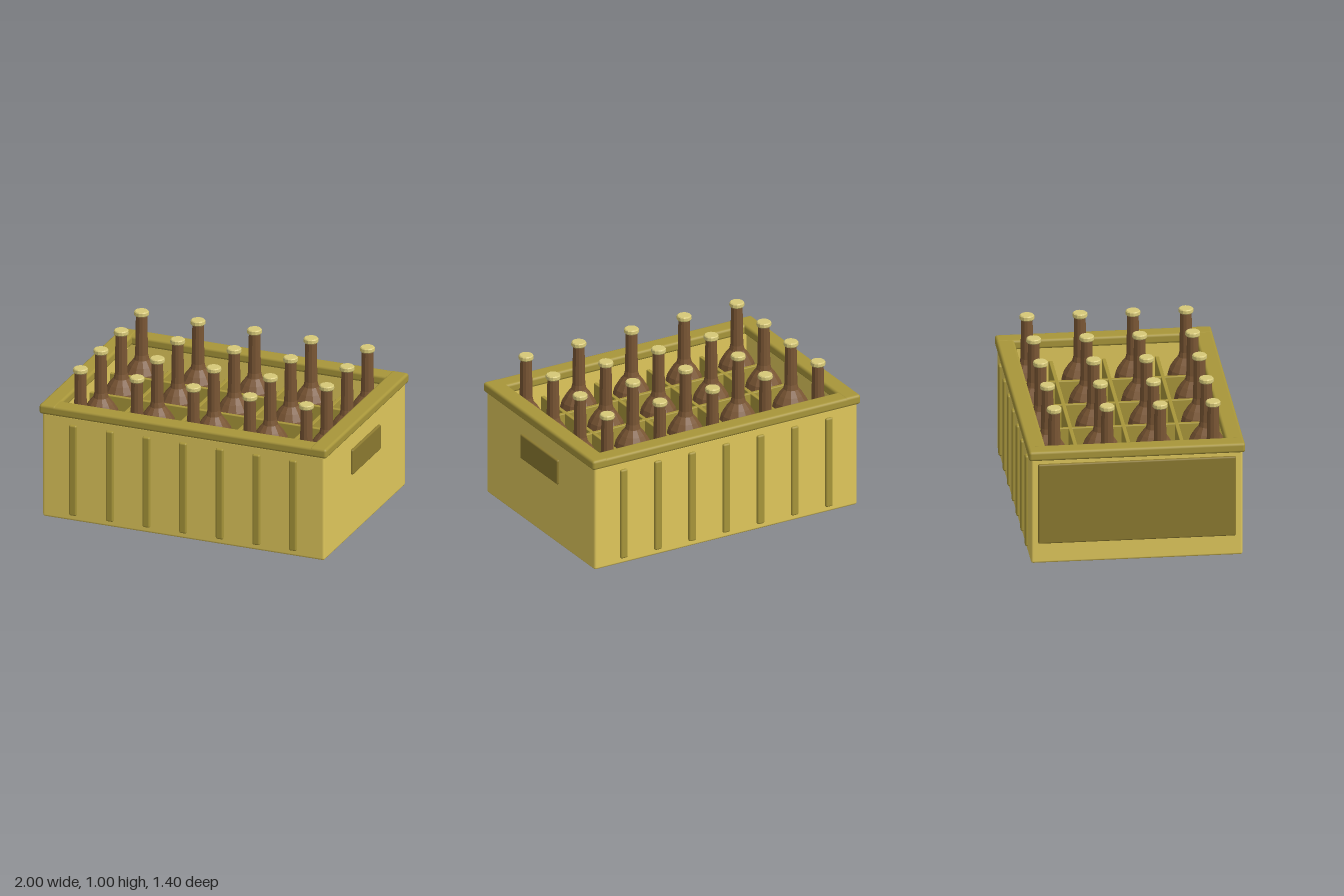
import * as THREE from 'three';
import { RoundedBoxGeometry } from 'three/addons/geometries/RoundedBoxGeometry.js';

const mat = (color, flatShading = false) => new THREE.MeshStandardMaterial({ color, flatShading });

export function createModel() {
  const model = new THREE.Group();
  const yellow = mat(0xe0c85c);
  const trim = mat(0xa8963a);
  const dark = mat(0x8c7a30);
  const glass = mat(0x7a5634, true);
  const capMat = mat(0xd6c878, true);

  // Softly rounded box given by its size and centre
  function block(parent, name, material, w, h, d, x, y, z, r = 0.012) {
    const mesh = new THREE.Mesh(new RoundedBoxGeometry(w, h, d, 2, r), material);
    mesh.name = name;
    mesh.position.set(x, y, z);
    parent.add(mesh);
    return mesh;
  }
  function group(name) {
    const g = new THREE.Group();
    g.name = name;
    model.add(g);
    return g;
  }

  // Floor and four walls
  const body = group('crateBody');
  block(body, 'floor', yellow, 1.96, 0.06, 1.37, 0, 0.03, 0, 0.015);
  for (const s of [-1, 1]) {
    block(body, 'longWall', yellow, 1.96, 0.72, 0.05, 0, 0.365, s * 0.66, 0.015);
    block(body, 'endWall', yellow, 0.05, 0.72, 1.37, s * 0.955, 0.365, 0, 0.015);
  }

  // Rim rails, crossing at the corners
  const rim = group('rim');
  for (const s of [-1, 1]) {
    block(rim, 'longRail', trim, 2.0, 0.064, 0.118, 0, 0.747, s * 0.641, 0.018);
    block(rim, 'endRail', trim, 0.118, 0.066, 1.4, s * 0.941, 0.748, 0, 0.018);
  }

  // Upright ribs on the front and back
  const ribs = group('ribs');
  for (const s of [-1, 1]) {
    for (let i = -3; i <= 3; i++) {
      block(ribs, 'rib', trim, 0.053, 0.63, 0.03, i * 0.255, 0.355, s * 0.687);
    }
  }

  // Grip on one end, broad panel on the other
  block(model, 'gripPanel', dark, 0.04, 0.172, 0.472, 0.977, 0.514, 0, 0.01);
  block(model, 'endPanel', dark, 0.03, 0.55, 1.28, -0.983, 0.415, 0, 0.01);

  // Dividers making five by four cells
  const dividers = group('dividers');
  for (const x of [-0.59, -0.197, 0.197, 0.59]) {
    block(dividers, 'crossDivider', trim, 0.026, 0.56, 1.3, x, 0.33, 0, 0.005);
  }
  for (const z of [-0.344, 0, 0.344]) {
    block(dividers, 'longDivider', trim, 1.9, 0.56, 0.026, 0, 0.33, z, 0.005);
  }

  // Bottles with crown caps
  const v = (x, y) => new THREE.Vector2(x, y);
  const bottleGeo = new THREE.LatheGeometry([
    v(0, 0.06), v(0.112, 0.06), v(0.12, 0.075), v(0.12, 0.54), v(0.11, 0.58),
    v(0.082, 0.625), v(0.05, 0.665), v(0.042, 0.70), v(0.037, 0.98),
  ], 12);
  const capGeo = new THREE.LatheGeometry([
    v(0, 0.968), v(0.044, 0.968), v(0.049, 0.975), v(0.048, 0.994), v(0.042, 1.0), v(0, 1.0),
  ], 12);
  const bottles = group('bottles');
  for (let i = -2; i <= 2; i++) {
    for (let j = -1.5; j <= 1.5; j++) {
      const bottle = new THREE.Group();
      bottle.name = 'bottle';
      const glassBody = new THREE.Mesh(bottleGeo, glass);
      glassBody.name = 'bottleGlass';
      const cap = new THREE.Mesh(capGeo, capMat);
      cap.name = 'bottleCap';
      bottle.add(glassBody, cap);
      bottle.position.set(i * 0.393, 0, j * 0.343);
      bottles.add(bottle);
    }
  }
  return model;
}
